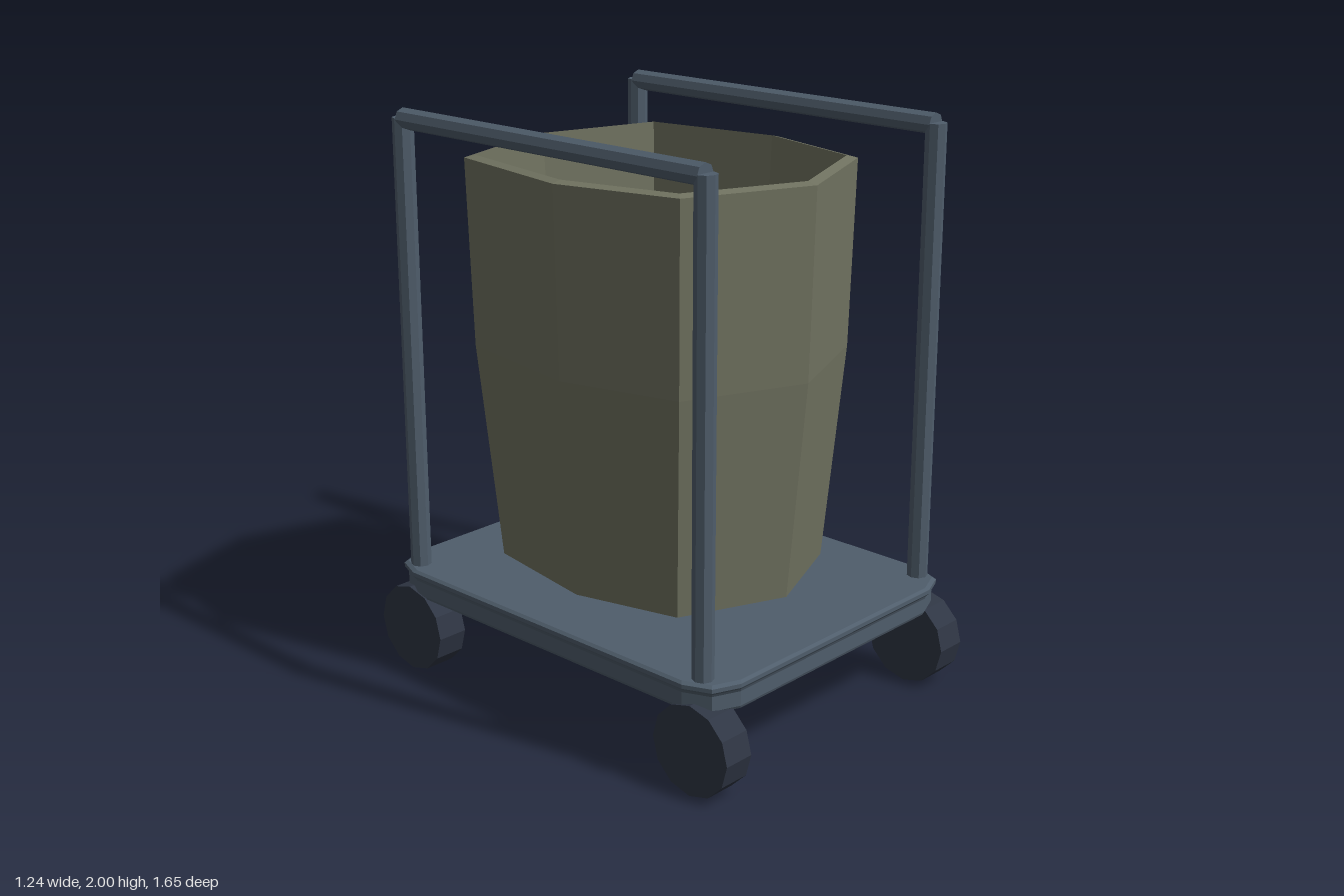
import * as THREE from 'three';

const material = (name, color) => {
  const m = new THREE.MeshStandardMaterial({ color, flatShading: true });
  m.name = name;
  return m;
};

// Joins stacked outlines [x, z], each at its own height, and closes both ends
function loft(rings) {
  const pos = [];
  const put = (ring, i) => {
    const [x, z] = ring.points[i % ring.points.length];
    pos.push(x, ring.y, z);
  };
  const n = rings[0].points.length;
  for (let r = 0; r < rings.length - 1; r++) {
    const a = rings[r], b = rings[r + 1];
    for (let i = 0; i < n; i++) {
      put(a, i); put(a, i + 1); put(b, i + 1);
      put(a, i); put(b, i + 1); put(b, i);
    }
  }
  const first = rings[0], last = rings[rings.length - 1];
  for (let i = 1; i < n - 1; i++) {
    put(first, 0); put(first, i + 1); put(first, i);
    put(last, 0); put(last, i); put(last, i + 1);
  }
  const g = new THREE.BufferGeometry();
  g.setAttribute('position', new THREE.Float32BufferAttribute(pos, 3));
  g.computeVertexNormals();
  return g;
}

// Rectangle outline with two-step rounded corners
function deckOutline(inset) {
  const hx = 0.62 - inset, hz = 0.77 - inset, r = 0.13;
  const points = [];
  for (let c = 0; c < 4; c++) {
    const sx = c < 2 ? 1 : -1, sz = c === 0 || c === 3 ? 1 : -1;
    for (let k = 0; k < 3; k++) {
      const a = (c + k / 2) * Math.PI / 2;
      points.push([sx * (hx - r) + r * Math.sin(a), sz * (hz - r) + r * Math.cos(a)]);
    }
  }
  return points;
}

export function createModel() {
  const model = new THREE.Group();
  model.name = 'binTrolley';
  const steel = material('blueGreySteel', 0x4f5d6b);
  const rubber = material('darkRubber', 0x2f3644);
  const canvas = material('oliveBin', 0x707260);

  const add = (name, geometry, mat, x = 0, y = 0, z = 0) => {
    const mesh = new THREE.Mesh(geometry, mat);
    mesh.name = name;
    mesh.position.set(x, y, z);
    model.add(mesh);
    return mesh;
  };

  // Platform with a raised bead around its upper edge
  const deckProfile = [
    [0.285, 0.014], [0.295, 0.01], [0.345, 0.01], [0.355, 0.006],
    [0.363, 0], [0.377, 0], [0.385, 0.01],
  ];
  add('platform', loft(deckProfile.map(([y, inset]) => ({ y, points: deckOutline(inset) }))), steel);

  // Eight-sided hollow bin, slightly narrower in front
  const outline = [
    [0, 0.63], [0.43, 0.453], [0.54, 0.02], [0.45, -0.493],
    [0, -0.63], [-0.45, -0.493], [-0.54, 0.02], [-0.43, 0.453],
  ];
  const binProfile = [[0.44, 0.857], [1.2, 0.972], [1.842, 1], [1.85, 0.94], [0.48, 0.803]];
  add('bin', loft(binProfile.map(([y, s]) => ({
    y, points: outline.map(([x, z]) => [x * s, z * s]),
  }))), canvas);

  // Side frames and wheels
  const post = new THREE.CylinderGeometry(0.036, 0.036, 1.6, 8);
  const rail = new THREE.CylinderGeometry(0.036, 0.036, 1.335, 8).rotateX(Math.PI / 2);
  const wheel = new THREE.CylinderGeometry(0.156, 0.156, 0.114, 12).rotateZ(Math.PI / 2);
  for (const sx of [1, -1]) {
    const side = sx > 0 ? 'left' : 'right';
    add(side + 'Handrail', rail, steel, sx * 0.556, 1.964, 0);
    for (const sz of [1, -1]) {
      const end = sz > 0 ? 'Front' : 'Back';
      add(side + end + 'Post', post, steel, sx * 0.556, 1.168, sz * 0.67);
      add(side + end + 'Wheel', wheel, rubber, sx * 0.558, 0.156, sz * 0.668);
    }
  }
  return model;
}
